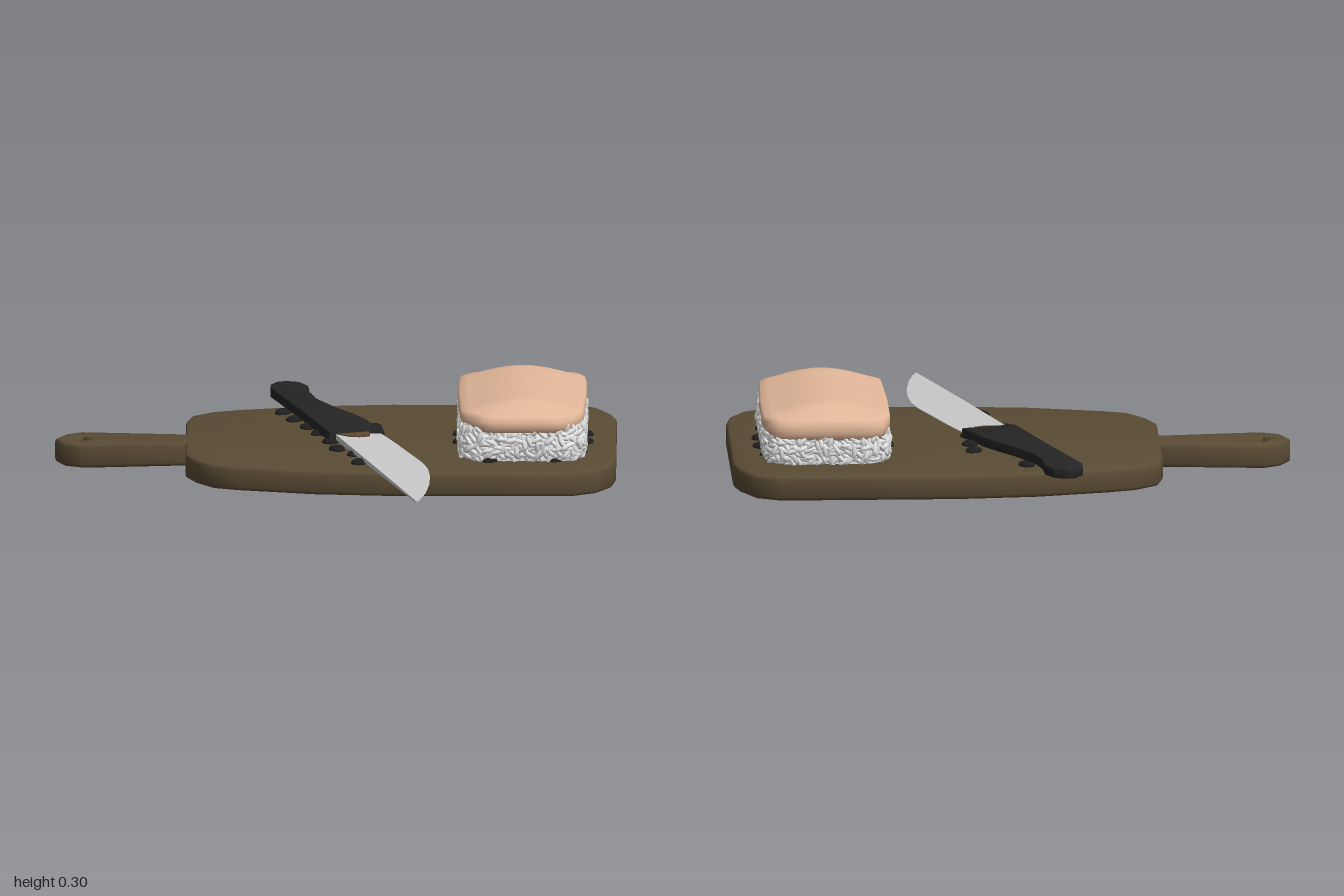
import * as THREE from 'three';
import { mergeGeometries, mergeVertices, toCreasedNormals } from 'three/addons/utils/BufferGeometryUtils.js';

const mat = (name, color) => {
  const m = new THREE.MeshStandardMaterial({ color });
  m.name = name;
  return m;
};

// Seeded random numbers in 0..1
function seeded(seed) {
  return () => {
    seed = (seed * 1664525 + 1013904223) % 4294967296;
    return seed / 4294967296;
  };
}

const toVectors = pts => pts.map(([x, z]) => new THREE.Vector2(x, -z));

// Flat slab from a plan outline of [x, z] points, between heights y0 and y1
function slab(outline, y0, y1, bevel = 0, hole = null) {
  const shape = new THREE.Shape(toVectors(outline));
  if (hole) shape.holes.push(new THREE.Path(toVectors(hole)));
  const geo = new THREE.ExtrudeGeometry(shape, {
    depth: y1 - y0 - 2 * bevel, bevelEnabled: bevel > 0, bevelThickness: bevel,
    bevelSize: bevel, bevelOffset: -bevel, bevelSegments: 2, curveSegments: 6,
  });
  return geo.rotateX(-Math.PI / 2).translate(0, y0 + bevel, 0);
}

// Move every vertex by a rule
function reshape(geo, rule) {
  const p = geo.attributes.position, v = new THREE.Vector3();
  for (let i = 0; i < p.count; i++) {
    rule(v.fromBufferAttribute(p, i));
    p.setXYZ(i, v.x, v.y, v.z);
  }
  geo.computeVertexNormals();
  return geo;
}

export function createModel() {
  const model = new THREE.Group();
  model.name = 'sushiBoard';
  const wood = mat('dark wood', 0x5a4c35);
  const salmon = mat('salmon', 0xe2b799);
  const white = mat('rice white', 0xe6e6e6);
  const black = mat('handle black', 0x252525);
  const steel = mat('steel', 0xcacaca);
  const seaweed = mat('seaweed', 0x1f1f20);
  const brown = mat('tang brown', 0x604a34);
  const add = (name, geo, material, parent = model) => {
    const mesh = new THREE.Mesh(geo, material);
    mesh.name = name;
    parent.add(mesh);
    return mesh;
  };

  // Cutting board with a pierced handle
  const board = slab([
    [-0.535, -0.255], [-0.535, -0.46], [-0.515, -0.55], [-0.44, -0.615], [-0.34, -0.65],
    [-0.08, -0.71], [0.2, -0.735], [0.84, -0.735], [0.93, -0.69], [0.98, -0.59], [1, -0.51],
    [1, 0.14], [0.985, 0.23], [0.935, 0.315], [0.845, 0.367], [0.2, 0.367], [-0.08, 0.34],
    [-0.35, 0.275], [-0.44, 0.24], [-0.5, 0.16], [-0.535, 0.07], [-0.535, -0.12],
    [-0.9, -0.08], [-0.97, -0.115], [-1, -0.185], [-0.965, -0.255], [-0.905, -0.29],
  ], 0, 0.088, 0.013, [[-0.935, -0.185], [-0.905, -0.15], [-0.865, -0.185], [-0.9, -0.225]]);
  add('cuttingBoard', toCreasedNormals(board, 0.8), wood);

  // Knife, leaning slightly down towards its tip
  const knife = new THREE.Group();
  knife.name = 'knife';
  model.add(knife);
  const lean = v => { v.y -= 0.016 * (v.z + 0.87); };

  const handle = slab([
    [-0.235, -0.77], [-0.235, -0.82], [-0.215, -0.857], [-0.18, -0.872], [-0.13, -0.855],
    [-0.1, -0.8], [-0.095, -0.71], [-0.07, -0.61], [0, -0.48], [0.06, -0.39], [0.105, -0.31],
    [0.125, -0.25], [0.17, -0.165], [-0.022, -0.105], [-0.13, -0.45],
  ], 0.104, 0.142, 0.006);
  add('knifeHandle', toCreasedNormals(reshape(handle, lean), 0.6), black, knife);

  // Blade, thick at the spine and thin at the edge and tip
  const blade = slab([
    [-0.005, -0.13], [0.155, -0.18], [0.22, 0], [0.31, 0.27], [0.33, 0.36], [0.338, 0.46],
    [0.338, 0.58], [0.325, 0.72], [0.308, 0.81], [0.293, 0.865], [0.147, 0.38],
  ], 0.111, 0.131);
  reshape(blade, v => {
    const fromSpine = Math.max(0, v.x - 0.031 - 0.307 * v.z);
    const thin = Math.max(0.12, 1 - fromSpine / 0.13) * THREE.MathUtils.clamp(1.15 - v.z, 0.2, 1);
    v.y = 0.121 + (v.y - 0.121) * thin;
    lean(v);
  });
  add('knifeBlade', toCreasedNormals(blade, 0.4), steel, knife);
  const tang = slab([[0.002, -0.115], [0.12, -0.152], [0.122, -0.105], [0.085, -0.085], [0.045, -0.085]],
    0.125, 0.133);
  add('knifeTang', reshape(tang, lean), brown, knife);

  // Rice block: a solid core covered in loose grains
  const rice = new THREE.Group();
  rice.name = 'rice';
  model.add(rice);
  const cx = 0.665, cz = -0.178, hw = 0.222, hd = 0.37, r = 0.085;
  const plan = new THREE.Shape();
  plan.absarc(hw - r, hd - r, r, 0, Math.PI / 2);
  plan.absarc(r - hw, hd - r, r, Math.PI / 2, Math.PI);
  plan.absarc(r - hw, r - hd, r, Math.PI, Math.PI * 1.5);
  plan.absarc(hw - r, r - hd, r, Math.PI * 1.5, Math.PI * 2);
  plan.closePath();
  const core = new THREE.ExtrudeGeometry(plan, { depth: 0.12, bevelEnabled: false, curveSegments: 5 });
  core.rotateX(-Math.PI / 2).scale(0.94, 1, 0.96).translate(cx, 0.085, cz);
  add('riceCore', toCreasedNormals(core, 0.7), white, rice);

  const rand = seeded(7);
  const grain = new THREE.SphereGeometry(1, 6, 5);
  const grains = [];
  const dummy = new THREE.Object3D();
  const along = new THREE.Vector3(), xAxis = new THREE.Vector3(1, 0, 0);
  const count = 900;
  for (let i = 0; i < count; i++) {
    const t = (i + rand()) / count;
    const p = plan.getPointAt(t), tan = plan.getTangentAt(t);
    const y = 0.098 + 0.106 * ((i * 0.618034) % 1);
    const k = 1 - 0.045 * ((y - 0.145) / 0.055) ** 2 + (rand() - 0.6) * 0.035;
    const angle = rand() * Math.PI;
    along.set(tan.x * Math.cos(angle), Math.sin(angle), tan.y * Math.cos(angle));
    along.x += (rand() - 0.5) * 0.7;
    along.z += (rand() - 0.5) * 0.7;
    dummy.position.set(cx + p.x * k, y, cz + p.y * k);
    dummy.quaternion.setFromUnitVectors(xAxis, along.normalize());
    dummy.scale.set(0.027, 0.0095, 0.0095);
    dummy.updateMatrix();
    grains.push(grain.clone().applyMatrix4(dummy.matrix));
  }
  add('riceGrains', mergeGeometries(grains), white, rice);

  // Salmon slice: a box domed on top, with rounded corners and a narrower front
  let fish = new THREE.BoxGeometry(2, 2, 2, 14, 3, 18);
  fish.deleteAttribute('uv');
  fish.deleteAttribute('normal');
  fish = mergeVertices(fish);
  reshape(fish, v => {
    const { x: u, y: h, z: w } = v;
    const corner = Math.max(0, (Math.abs(w) - 0.72) / 0.28);
    const width = 0.229 - (w > 0 ? 0.055 : 0.03) * corner ** 2 - 0.012 * Math.max(0, w);
    const round = Math.abs(h) > 0.9 ? 0.975 : 1;
    const ends = Math.min(1, (1 - Math.abs(w)) / 0.24);
    const top = 0.25 + (0.004 + 0.042 * Math.cos(u * Math.PI / 2) ** 1.3) * ends;
    const bottom = 0.205 - 0.012 * Math.abs(w) ** 4 - (w < 0 ? 0.015 * w ** 6 : 0);
    v.set(cx + u * width * round, bottom + (top - bottom) * (h + 1) / 2,
      cz + w * (0.38 - 0.025 * Math.abs(u) ** 6) * round);
  });
  add('salmonSlice', fish, salmon);

  // Small dark seaweed dabs on the board
  const dabs = [
    [-0.19, -0.585], [-0.15, -0.47], [-0.1, -0.35], [-0.06, -0.25], [-0.02, -0.12], [0.005, 0],
    [0.07, 0.08], [0.085, 0.215], [-0.045, -0.58], [0.135, -0.35], [0.145, -0.25], [0.145, -0.12],
    [0.445, -0.25], [0.445, -0.12], [0.89, -0.25], [0.89, -0.12], [0.87, -0.38], [0.87, 0.02],
    [0.55, 0.175], [0.78, 0.165],
  ];
  const dabGeo = new THREE.SphereGeometry(1, 8, 6).scale(0.03, 0.016, 0.037);
  dabs.forEach(([x, z], i) => {
    const dab = add('seaweedDab' + (i + 1), dabGeo, seaweed);
    dab.position.set(x, 0.089, z);
    dab.rotation.y = (i % 3 - 1) * 0.4;
  });

  return model;
}
